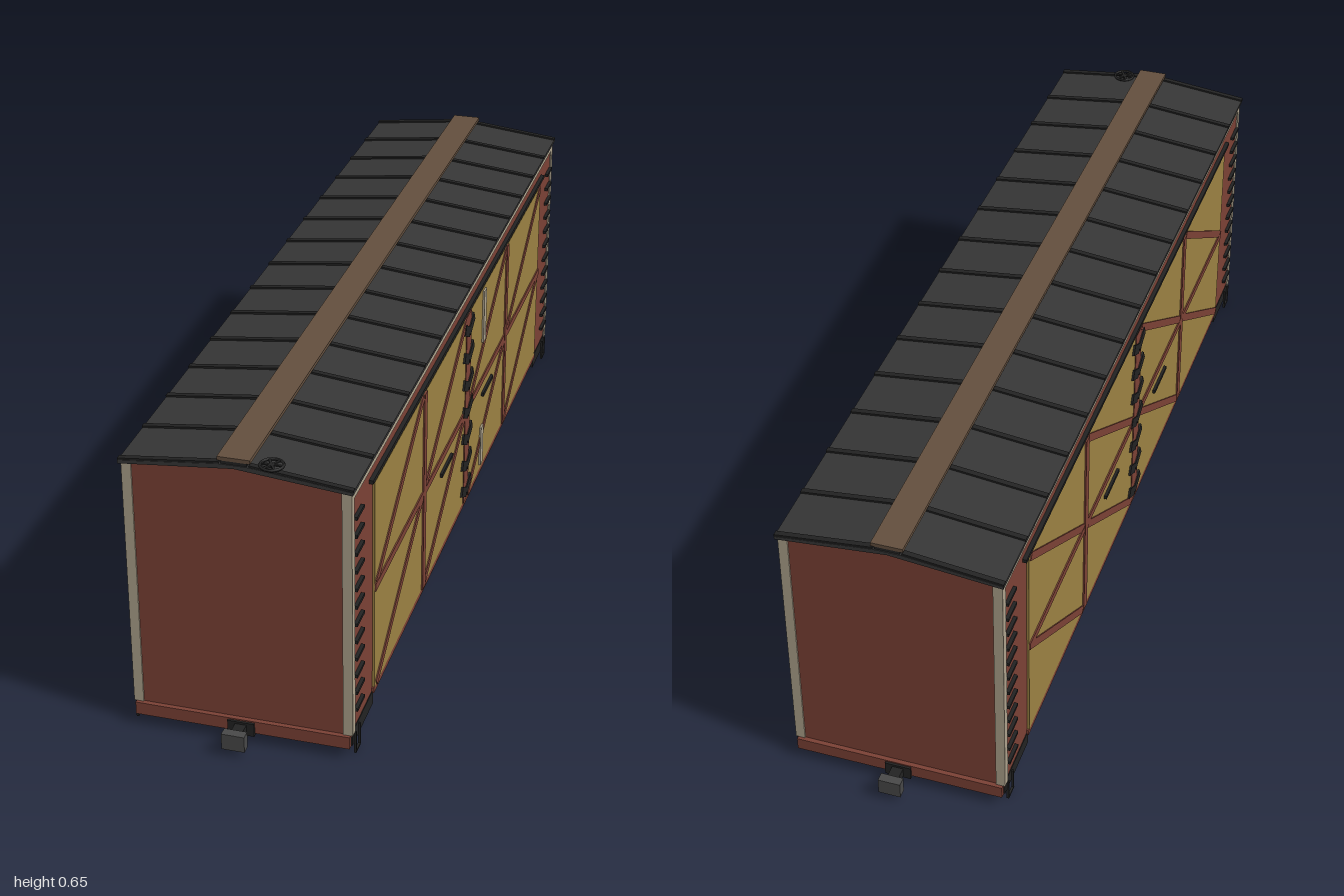
import * as THREE from 'three';

const mat = (name, color, side = THREE.FrontSide) => {
  const m = new THREE.MeshStandardMaterial({ color, side });
  m.name = name;
  return m;
};

export function createModel() {
  const red = mat('oxide red', 0x7b4135);
  const tan = mat('door ochre', 0x9b8142);
  const cream = mat('trim cream', 0xada28c);
  const brown = mat('walkway wood', 0x634f3e);
  const roofGrey = mat('roof charcoal', 0x363636);
  const black = mat('iron black', 0x222222);
  const steel = mat('wheel steel', 0x484848);

  const root = new THREE.Group();
  root.name = 'boxcar';
  const add = (name, geo, m, x = 0, y = 0, z = 0, parent = root) => {
    const mesh = new THREE.Mesh(geo, m);
    mesh.name = name;
    mesh.position.set(x, y, z);
    parent.add(mesh);
    return mesh;
  };
  // Box given by its limits on each axis
  const box = (name, m, x0, x1, y0, y1, z0, z1, parent = root) =>
    add(name, new THREE.BoxGeometry(x1 - x0, y1 - y0, z1 - z0), m,
      (x0 + x1) / 2, (y0 + y1) / 2, (z0 + z1) / 2, parent);
  // Square bar between two points; w is across in x, h is the other thickness
  const bar = (name, m, a, b, w, h, parent = root) => {
    const p = new THREE.Vector3(...a), q = new THREE.Vector3(...b);
    const mesh = add(name, new THREE.BoxGeometry(w, h, p.distanceTo(q)), m, 0, 0, 0, parent);
    mesh.position.copy(p).add(q).multiplyScalar(0.5);
    mesh.lookAt(q);
    return mesh;
  };
  const prism = (name, pts, length, m) => {
    const geo = new THREE.ExtrudeGeometry(
      new THREE.Shape(pts.map(p => new THREE.Vector2(...p))), { depth: length, bevelEnabled: false });
    return add(name, geo, m, 0, 0, -length / 2);
  };

  // Body shell and roof
  prism('body', [[-0.227, 0.05], [0.227, 0.05], [0.227, 0.61], [0, 0.633], [-0.227, 0.61]], 1.87, red);
  prism('roof', [[-0.234, 0.607], [0, 0.630], [0.234, 0.607], [0.234, 0.614],
    [0.03, 0.637], [-0.03, 0.637], [-0.234, 0.614]], 1.89, roofGrey);
  const ribs = 14;
  for (let i = 0; i <= ribs; i++) {
    const z = -0.938 + (1.876 * i) / ribs;
    for (const s of [-1, 1]) {
      const rib = add('roofRib', new THREE.BoxGeometry(0.206, 0.006, 0.012), black, s * 0.132, 0.6265, z);
      rib.rotation.z = -s * Math.atan2(0.023, 0.204);
    }
    box('walkwaySupport', black, -0.026, 0.026, 0.634, 0.645, z - 0.005, z + 0.005);
  }
  box('roofWalkway', brown, -0.033, 0.033, 0.644, 0.652, -0.944, 0.944);

  // Brake wheel lying flat over the front of the roof
  const wheelRim = add('brakeWheelRim', new THREE.TorusGeometry(0.023, 0.003, 6, 20), black, 0.07, 0.639, 0.925);
  wheelRim.rotation.x = Math.PI / 2;
  for (let i = 0; i < 3; i++) {
    const spoke = add('brakeWheelSpoke', new THREE.BoxGeometry(0.046, 0.003, 0.005), black, 0.07, 0.639, 0.925);
    spoke.rotation.y = (i * Math.PI) / 3;
  }
  add('brakeStaff', new THREE.CylinderGeometry(0.003, 0.003, 0.02, 8), black, 0.07, 0.629, 0.925);

  // One side wall facing +x; mirrored by coordinates for the other
  const buildSide = s => {
    const side = new THREE.Group();
    side.name = s > 0 ? 'leftSide' : 'rightSide';
    root.add(side);
    const plate = (name, m, x0, x1, y0, y1, z0, z1) =>
      box(name, m, Math.min(s * x0, s * x1), Math.max(s * x0, s * x1), y0, y1, z0, z1, side);

    plate('fascia', cream, 0.22, 0.2295, 0.588, 0.61, -0.936, 0.936);
    for (const e of [-1, 1]) {
      const z0 = e > 0 ? 0.92 : -0.938;
      plate('cornerPost', cream, 0.21, 0.23, 0.055, 0.611, z0, z0 + 0.018);
    }

    // Two double doors on each side of the centre line
    for (const e of [-1, 1]) {
      const lo = Math.min(e * 0.02, e * 0.785), hi = Math.max(e * 0.02, e * 0.785);
      plate('doorPanel', tan, 0.225, 0.232, 0.07, 0.548, lo, hi);
      plate('doorMidRail', red, 0.23, 0.235, 0.3, 0.317, lo, hi);
      plate('doorStile', red, 0.23, 0.2355, 0.07, 0.548, e * 0.395 - 0.011, e * 0.395 + 0.011);
      plate('doorHandle', black, 0.23, 0.238, 0.265, 0.274, e * 0.2 - 0.05, e * 0.2 + 0.05);
      for (const z of [0.592, 0.205])
        for (const y of [0.075, 0.315])
          bar('doorBrace', red, [s * 0.2325, y, e * z + 0.183], [s * 0.2325, y + 0.23, e * z - 0.183], 0.004, 0.018, side);
    }
    plate('centrePost', red, 0.228, 0.234, 0.07, 0.55, -0.022, 0.022);
    plate('doorTrack', black, 0.225, 0.236, 0.558, 0.566, -0.81, 0.81);
    plate('doorSill', red, 0.225, 0.232, 0.058, 0.07, -0.79, 0.79);

    // Slanted hinge straps
    for (let i = 0; i < 7; i++) {
      const y = 0.09 + i * 0.069;
      for (const e of [-1, 1])
        bar('hingeStrap', black, [s * 0.234, y, 0], [s * 0.234, y + 0.022, e * 0.042], 0.005, 0.024, side);
    }

    // Ladder rungs and step stirrups at both ends
    for (const e of [-1, 1]) {
      for (let i = 0; i < 12; i++)
        plate('ladderRung', black, 0.225, 0.2345, 0.101 + i * 0.0398, 0.108 + i * 0.0398, e * 0.892 - 0.026, e * 0.892 + 0.026);
      for (const z of [0.892, 0.922])
        plate('stirrupLeg', black, 0.228, 0.233, 0.005, 0.056, e * z - 0.002, e * z + 0.002);
      plate('stirrupStep', black, 0.228, 0.233, 0.005, 0.009, e * 0.907 - 0.017, e * 0.907 + 0.017);
      plate('endSideSill', black, 0.215, 0.2285, 0.03, 0.062, e * 0.86 - 0.075, e * 0.86 + 0.075);
    }

    // Truss rods under the floor
    for (const x of [0.155, 0.06]) {
      bar('trussRod', black, [s * x, 0.02, -0.32], [s * x, 0.02, 0.32], 0.005, 0.005, side);
      for (const e of [-1, 1]) {
        bar('trussRod', black, [s * x, 0.02, e * 0.32], [s * x, 0.05, e * 0.64], 0.005, 0.005, side);
        plate('queenPost', black, x - 0.004, x + 0.004, 0.017, 0.045, e * 0.32 - 0.006, e * 0.32 + 0.006);
      }
    }
  };
  buildSide(1);
  buildSide(-1);

  // Pale placard strips on one door
  box('upperPlacard', cream, 0.231, 0.2365, 0.41, 0.54, -0.163, -0.14);
  box('lowerPlacard', cream, 0.231, 0.2365, 0.085, 0.185, -0.163, -0.14);

  // Underframe
  box('centreFloor', brown, -0.224, 0.224, 0.036, 0.055, -0.41, 0.41);
  box('centreSill', black, -0.028, 0.028, 0.022, 0.052, -0.95, 0.95);
  for (const z of [-0.25, 0, 0.25]) box('crossBearer', black, -0.16, 0.16, 0.026, 0.04, z - 0.007, z + 0.007);
  const tank = add('brakeCylinder', new THREE.CylinderGeometry(0.016, 0.016, 0.17, 16), steel, 0.09, 0.02, 0.09);
  tank.rotation.x = Math.PI / 2;
  box('brakeValve', steel, -0.13, -0.085, 0.008, 0.036, -0.155, -0.06);
  box('brakeReservoir', steel, -0.13, -0.09, 0.012, 0.036, -0.02, 0.03);

  // End sills, couplers and wheel trucks
  for (const e of [-1, 1]) {
    box('endSill', red, -0.225, 0.225, 0.027, 0.055, e * 0.933 - 0.012, e * 0.933 + 0.012);
    box('couplerShank', black, -0.012, 0.012, 0.027, 0.047, e * 0.96 - 0.03, e * 0.96 + 0.03);
    box('couplerHead', steel, -0.024, 0.024, 0.018, 0.054, e * 0.99 - 0.01, e * 0.99 + 0.01);

    const truck = new THREE.Group();
    truck.name = 'truck';
    truck.position.z = e * 0.71;
    root.add(truck);
    box('bolster', black, -0.12, 0.12, 0.022, 0.045, -0.015, 0.015, truck);
    for (const s of [-1, 1])
      box('truckSideFrame', black, s * 0.12 - 0.005, s * 0.12 + 0.005, 0.018, 0.042, -0.09, 0.09, truck);
    for (const z of [-0.073, 0.073]) {
      const axle = add('axle', new THREE.CylinderGeometry(0.007, 0.007, 0.25, 10), black, 0, 0.038, z, truck);
      axle.rotation.z = Math.PI / 2;
      for (const s of [-1, 1]) {
        const tread = add('wheelTread', new THREE.CylinderGeometry(0.031, 0.031, 0.022, 24), steel, s * 0.1, 0.038, z, truck);
        const flange = add('wheelFlange', new THREE.CylinderGeometry(0.035, 0.035, 0.006, 24), steel, s * 0.086, 0.038, z, truck);
        tread.rotation.z = flange.rotation.z = Math.PI / 2;
      }
    }
  }
  return root;
}
